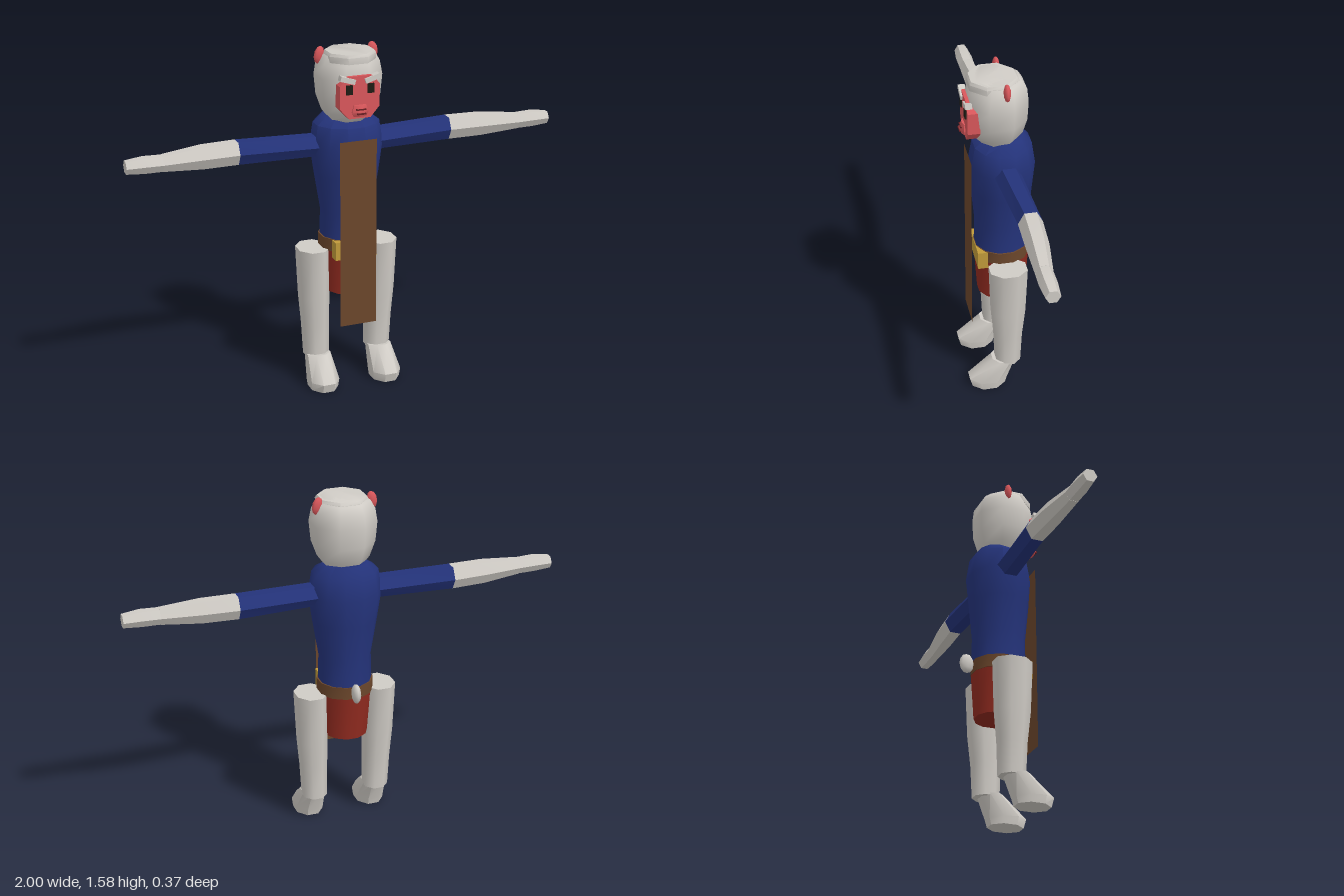
import * as THREE from 'three';
import { toCreasedNormals } from 'three/addons/utils/BufferGeometryUtils.js';

const paint = (name, color) => {
  const m = new THREE.MeshStandardMaterial({ color });
  m.name = name;
  return m;
};

// Closed ring around y: centre, radii, sides; tilt raises its front.
function ringY({ x = 0, y, z = 0, rx, rz, tilt = 0 }, n, phase = Math.PI / n) {
  const k = 1 / Math.cos(phase);
  return Array.from({ length: n }, (_, i) => {
    const t = (i / n) * Math.PI * 2 + phase;
    return [x + rx * k * Math.sin(t), y + tilt * k * Math.cos(t), z + rz * k * Math.cos(t)];
  });
}

// Six-sided ring around x, with its points facing front and back.
function ringX([x, y, ry, zBack, zFront]) {
  const z = (zBack + zFront) / 2, rz = (zFront - zBack) / 2;
  return Array.from({ length: 6 }, (_, i) => {
    const t = (i / 6) * Math.PI * 2 + Math.PI / 6;
    return [x, y + (ry * Math.cos(t)) / Math.cos(Math.PI / 6), z + rz * Math.sin(t)];
  });
}

// Skin between rings, capped at both ends.
function loft(rings, crease = 0.9) {
  const n = rings[0].length, index = [];
  const pos = rings.flat(2);
  for (let r = 0; r < rings.length - 1; r++) {
    for (let i = 0; i < n; i++) {
      const a = r * n + i, b = r * n + ((i + 1) % n);
      index.push(a, b, b + n, a, b + n, a + n);
    }
  }
  const top = (rings.length - 1) * n;
  for (let i = 1; i < n - 1; i++) index.push(0, i + 1, i, top, top + i, top + i + 1);
  const g = new THREE.BufferGeometry();
  g.setAttribute('position', new THREE.Float32BufferAttribute(pos, 3));
  g.setIndex(index);
  return toCreasedNormals(g, crease);
}

const mirror = (rings) => rings.map((r) => r.map(([x, y, z]) => [-x, y, z]).reverse());

export function createModel() {
  const model = new THREE.Group();
  const fur = paint('grey fur', 0xcfcbc5);
  const blue = paint('blue cloth', 0x24337a);
  const brown = paint('brown leather', 0x6b462b);
  const red = paint('dark red cloth', 0x8f2a1f);
  const skin = paint('pink red skin', 0xd9575b);
  const gold = paint('gold', 0xc09a3a);
  const dark = paint('eye black', 0x1e1c14);
  const mouthRed = paint('mouth red', 0x6a2024);

  const add = (name, geometry, material, x = 0, y = 0, z = 0, parent = model) => {
    const m = new THREE.Mesh(geometry, material);
    m.name = name;
    m.position.set(x, y, z);
    parent.add(m);
    return m;
  };
  const box = (w, h, d) => new THREE.BoxGeometry(w, h, d);
  const column = (list, n, crease) => loft(list.map((r) => ringY(r, n)), crease);

  // Torso and clothing
  add('torso', column([
    { y: 0.69, rx: 0.118, rz: 0.12 },
    { y: 0.825, rx: 0.114, rz: 0.117 },
    { y: 1.0, rx: 0.142, rz: 0.132 },
    { y: 1.13, rx: 0.16, rz: 0.142, z: -0.002 },
    { y: 1.23, rx: 0.145, rz: 0.126, z: -0.003 },
    { y: 1.268, rx: 0.095, rz: 0.085, z: -0.01, tilt: -0.008 },
  ], 12), blue);
  add('belt', column([
    { y: 0.65, rx: 0.124, rz: 0.122 },
    { y: 0.708, rx: 0.124, rz: 0.122 },
  ], 12), brown);
  add('buckle', box(0.196, 0.085, 0.046), gold, 0, 0.664, 0.101);
  add('skirt', column([
    { y: 0.44, rx: 0.1, rz: 0.108 },
    { y: 0.66, rx: 0.117, rz: 0.121 },
  ], 12), red);
  const strip = brown.clone();
  strip.name = 'brown strip';
  strip.side = THREE.DoubleSide;
  const sash = add('frontSash', new THREE.PlaneGeometry(0.172, 0.87), strip, 0, 0.745, 0.15);
  sash.rotation.x = -0.006;

  // Tail stub
  const tail = add('tail', new THREE.SphereGeometry(1, 8, 6), fur, 0, 0.69, -0.153);
  tail.scale.set(0.021, 0.046, 0.034);

  // Head with cap rim
  const head = new THREE.Group();
  head.name = 'head';
  model.add(head);
  add('skull', column([
    { y: 1.25, rx: 0.08, rz: 0.075, z: 0.015 },
    { y: 1.29, rx: 0.108, rz: 0.105, z: 0.018 },
    { y: 1.36, rx: 0.132, rz: 0.125, z: 0.02 },
    { y: 1.45, rx: 0.14, rz: 0.13, z: 0.021 },
    { y: 1.51, rx: 0.13, rz: 0.121, z: 0.018 },
    { y: 1.545, rx: 0.112, rz: 0.1, z: 0.018 },
    { y: 1.562, rx: 0.09, rz: 0.074, z: 0.04 },
  ], 8), fur, 0, 0, 0, head);
  add('capRim', column([
    { y: 1.522, rx: 0.106, rz: 0.108, z: 0.036 },
    { y: 1.55, rx: 0.108, rz: 0.108, z: 0.036 },
    { y: 1.562, rx: 0.1, rz: 0.098, z: 0.038 },
  ], 8, 0.8), fur, 0, 0, 0, head);

  // Face
  const outline = new THREE.Shape([
    [-0.05, 1.287], [0.05, 1.287], [0.092, 1.335], [0.092, 1.435],
    [0.055, 1.475], [-0.055, 1.475], [-0.092, 1.435], [-0.092, 1.335],
  ].map(([x, y]) => new THREE.Vector2(x, y)));
  add('face', new THREE.ExtrudeGeometry(outline, { depth: 0.055, bevelEnabled: false }),
    skin, 0, 0, 0.107, head);
  add('muzzle', column([
    { y: 1.298, rx: 0.03, rz: 0.016, z: 0.16 },
    { y: 1.318, rx: 0.038, rz: 0.026, z: 0.158 },
    { y: 1.348, rx: 0.028, rz: 0.012, z: 0.16 },
  ], 8), skin, 0, 0, 0, head);
  add('mouth', box(0.04, 0.007, 0.008), mouthRed, 0, 1.312, 0.182, head);
  add('nose', box(0.044, 0.006, 0.008), mouthRed, 0, 1.33, 0.177, head);

  // Arm cross-sections: x, y, half height, back z, front z
  const sleeve = [[0.1, 1.135, 0.045, -0.062, 0.058], [0.16, 1.135, 0.045, -0.064, 0.055],
    [0.5, 1.137, 0.05, -0.076, 0.03]].map(ringX);
  const forearm = [[0.5, 1.137, 0.05, -0.076, 0.03], [0.66, 1.137, 0.049, -0.067, 0.034],
    [0.84, 1.135, 0.034, -0.042, 0.034]].map(ringX);
  const hand = [[0.84, 1.135, 0.033, -0.042, 0.034], [0.92, 1.137, 0.034, -0.042, 0.036],
    [1, 1.135, 0.027, -0.036, 0.028]].map(ringX);

  // Leg and foot, around the left hip
  const leg = [
    { x: 0.15, y: 0.125, rx: 0.055, rz: 0.057 },
    { x: 0.154, y: 0.28, rx: 0.059, rz: 0.063 },
    { x: 0.159, y: 0.42, rx: 0.065, rz: 0.076 },
    { x: 0.163, y: 0.655, rx: 0.071, rz: 0.084 },
  ].map((r) => ringY(r, 8));
  const foot = [
    { x: 0.152, y: 0, z: 0.094, rx: 0.063, rz: 0.077 },
    { x: 0.152, y: 0.037, z: 0.096, rx: 0.067, rz: 0.087, tilt: 0.006 },
    { x: 0.15, y: 0.137, z: 0.021, rx: 0.055, rz: 0.053, tilt: 0.006 },
  ].map((r) => ringY(r, 8));

  for (const [side, s] of [['left', 1], ['right', -1]]) {
    const pick = (rings) => (s > 0 ? rings : mirror(rings));
    add(side + 'Sleeve', loft(pick(sleeve).slice()[s > 0 ? 'slice' : 'slice'](), 0.5), blue);
    add(side + 'Forearm', loft(pick(forearm), 0.5), fur);
    add(side + 'Hand', loft(pick(hand), 0.5), fur);
    add(side + 'Leg', loft(pick(leg)), fur);
    add(side + 'Foot', loft(pick(foot), 0.8), fur);

    // Ear, eye and slanted brow
    const ear = add(side + 'Ear', new THREE.SphereGeometry(1, 8, 5), skin, s * 0.125, 1.54, -0.002, head);
    ear.scale.set(0.024, 0.04, 0.016);
    ear.rotation.z = s * 0.2;
    add(side + 'Eye', box(0.03, 0.042, 0.009), dark, s * 0.05, 1.418, 0.164, head);
    const brow = add(side + 'Brow', box(0.07, 0.022, 0.03), fur, s * 0.057, 1.461, 0.156, head);
    brow.rotation.z = s * 0.3;
  }
  return model;
}
